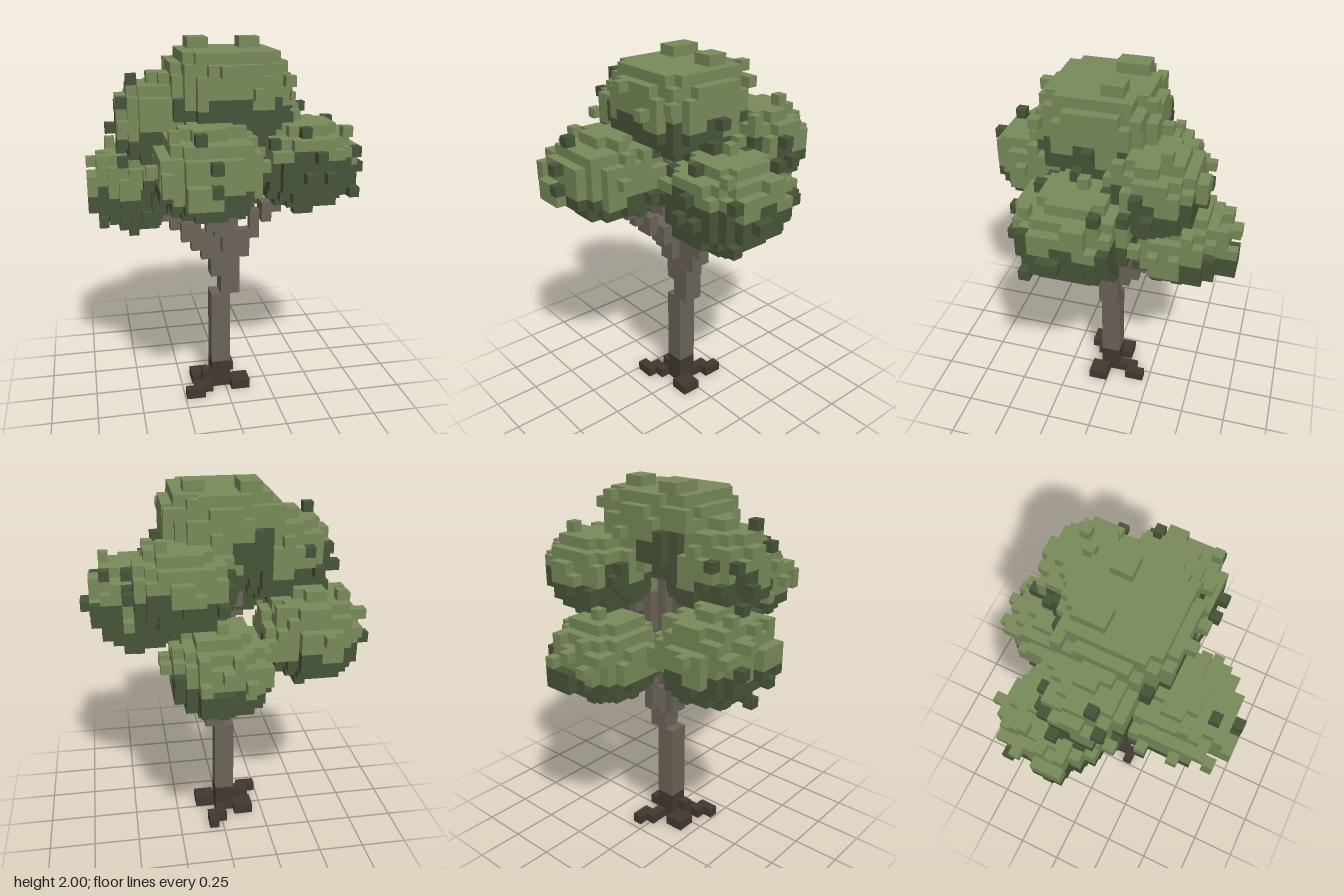
import * as THREE from 'three';

const V = 2 / 37; // cube size

const material = (name, color) => {
  const m = new THREE.MeshStandardMaterial({ color });
  m.name = name;
  return m;
};

// Repeatable noise in 0..1 for a cell
function noise(i, j, k, seed) {
  let h = (i * 374761393 + j * 668265263 + k * 2147483647 + seed * 1274126177) | 0;
  h = Math.imul(h ^ (h >>> 13), 1274126177);
  h = Math.imul(h ^ (h >>> 16), 0x85ebca6b);
  return ((h ^ (h >>> 15)) >>> 0) / 4294967296;
}

// Six cube faces: normal and four corners, counter-clockwise from outside
const FACES = [
  [[1, 0, 0], [[1, 0, 1], [1, 0, 0], [1, 1, 0], [1, 1, 1]]],
  [[-1, 0, 0], [[0, 0, 0], [0, 0, 1], [0, 1, 1], [0, 1, 0]]],
  [[0, 1, 0], [[0, 1, 1], [1, 1, 1], [1, 1, 0], [0, 1, 0]]],
  [[0, -1, 0], [[0, 0, 0], [1, 0, 0], [1, 0, 1], [0, 0, 1]]],
  [[0, 0, 1], [[0, 0, 1], [1, 0, 1], [1, 1, 1], [0, 1, 1]]],
  [[0, 0, -1], [[1, 0, 0], [0, 0, 0], [0, 1, 0], [1, 1, 0]]],
];

export function createModel() {
  const tree = new THREE.Group();
  tree.name = 'tree';
  const mats = {
    leafLight: material('light leaf green', 0x788a5a),
    leafDark: material('dark leaf green', 0x465438),
    bark: material('bark brown', 0x6b635a),
    root: material('dark root brown', 0x413831),
  };

  const cells = new Map();
  const put = (i, j, k, part, mat) => {
    if (Math.abs(i) > 13 || j < 0 || j > 36 || k < -13 || k > 12) return;
    const key = `${i},${j},${k}`;
    if (!cells.has(key)) cells.set(key, { i, j, k, part, mat });
  };
  const box = (i0, i1, j0, j1, k0, k1, part, mat) => {
    for (let i = i0; i <= i1; i++)
      for (let j = j0; j <= j1; j++)
        for (let k = k0; k <= k1; k++) put(i, j, k, part, mat);
  };

  // Trunk foot and four roots
  box(-1, 0, 0, 2, -1, 0, 'trunkFoot', 'root');
  box(-2, -2, 0, 1, 0, 0, 'roots', 'root');
  box(-3, -2, 0, 0, 1, 1, 'roots', 'root');
  box(-4, -3, 0, 0, 2, 2, 'roots', 'root');
  box(0, 0, 0, 0, -3, -2, 'roots', 'root');
  box(1, 1, 0, 0, -4, -3, 'roots', 'root');
  box(-3, -2, 0, 0, -2, -1, 'roots', 'root');
  box(1, 2, 0, 0, 0, 1, 'roots', 'root');

  // Trunk, stepping sideways as it rises
  box(-1, 0, 3, 10, -1, 0, 'trunk', 'bark');
  box(0, 1, 11, 17, -1, 0, 'trunk', 'bark');
  box(0, 0, 11, 30, -1, 0, 'trunk', 'bark');
  box(-1, -1, 13, 20, -1, 0, 'trunk', 'bark');
  box(1, 1, 18, 21, -1, -1, 'trunk', 'bark');

  // Branches follow short paths of cells, two cells high
  const branch = (name, points) => {
    for (let p = 0; p + 1 < points.length; p++) {
      const a = new THREE.Vector3(...points[p]), b = new THREE.Vector3(...points[p + 1]);
      const steps = Math.ceil(a.distanceTo(b) * 2);
      for (let s = 0; s <= steps; s++) {
        const q = a.clone().lerp(b, s / steps).round();
        box(q.x, q.x, q.y, q.y + 1, q.z, q.z, name, 'bark');
      }
    }
  };
  branch('rightBranch', [[-1, 14, 0], [-2, 15, 0], [-3, 17, 0], [-5, 18, -1], [-7, 21, -2]]);
  branch('leftBranch', [[1, 14, 0], [2, 15, 0], [3, 18, 0], [5, 20, 1], [7, 23, 1]]);
  branch('frontBranch', [[0, 15, 0], [0, 17, 1], [-1, 18, 2], [-2, 20, 4], [-3, 22, 6]]);
  branch('backBranch', [[0, 13, -2], [0, 15, -3], [1, 16, -4], [1, 18, -6]]);
  branch('upperBackBranch', [[0, 21, -1], [2, 25, -3], [4, 28, -5]]);
  branch('upperRightBranch', [[0, 21, 0], [-2, 25, 0], [-5, 28, 0]]);

  // Leaf clusters: name, centre, radii, roundness power, height where dark turns light
  const clusters = [
    ['topLeaves', [0, 1.74, 0.03], [0.3, 0.24, 0.29], 3, 1.7],
    ['upperRightLeaves', [-0.31, 1.59, 0.01], [0.26, 0.23, 0.22], 2.3, 1.56],
    ['upperBackLeaves', [0.22, 1.54, -0.28], [0.25, 0.2, 0.24], 2.3, 1.56],
    ['frontLeaves', [-0.16, 1.4, 0.39], [0.26, 0.21, 0.27], 2.3, 1.33],
    ['leftLeaves', [0.41, 1.35, 0.07], [0.27, 0.22, 0.28], 2.4, 1.37],
    ['rightLeaves', [-0.45, 1.21, -0.16], [0.25, 0.23, 0.27], 2.3, 1.18],
    ['backLeaves', [0.06, 1.14, -0.41], [0.25, 0.21, 0.25], 2.2, 1.1],
  ];
  clusters.forEach(([name, c, r, power, darkBelow], n) => {
    for (let i = -13; i <= 13; i++)
      for (let j = 17; j <= 35; j++)
        for (let k = -13; k <= 12; k++) {
          const p = [i * V, (j + 0.5) * V, (k + 0.5) * V];
          const d = p.reduce((s, v, a) => s + Math.abs((v - c[a]) / r[a]) ** power, 0) ** (1 / power);
          const chance = noise(i, j, k, n);
          if (d > (chance < 0.1 ? 1.16 : 1)) continue;
          // Ragged colour edge, with a few dark tufts standing out
          const patch = (noise(i >> 1, 0, k >> 1, n + 20) - 0.5) * 2.6 * V;
          const dark = p[1] < darkBelow + patch || (d > 1 && chance < 0.03);
          put(i, j, k, name, dark ? 'leafDark' : 'leafLight');
        }
  });

  // Outermost leaf tufts
  box(-3, -2, 36, 36, -3, -1, 'topLeaves', 'leafLight');
  box(2, 3, 36, 36, -2, -1, 'topLeaves', 'leafLight');
  box(12, 13, 24, 24, 1, 2, 'leftLeaves', 'leafDark');
  box(-13, -12, 22, 23, -3, -1, 'rightLeaves', 'leafLight');
  box(-5, -3, 24, 25, 11, 12, 'frontLeaves', 'leafLight');
  box(1, 3, 19, 20, -13, -12, 'backLeaves', 'leafDark');

  // Gather the exposed faces of each part by colour
  const parts = new Map();
  for (const { i, j, k, part, mat } of cells.values()) {
    const key = `${part}|${mat}`;
    if (!parts.has(key)) parts.set(key, { position: [], normal: [], index: [] });
    const g = parts.get(key);
    for (const [n, corners] of FACES) {
      if (cells.has(`${i + n[0]},${j + n[1]},${k + n[2]}`)) continue;
      const o = g.position.length / 3;
      for (const [x, y, z] of corners) {
        g.position.push((i - 0.5 + x) * V, (j + y) * V, (k + z) * V);
        g.normal.push(...n);
      }
      g.index.push(o, o + 1, o + 2, o, o + 2, o + 3);
    }
  }
  for (const [key, g] of parts) {
    if (!g.index.length) continue;
    const [part, mat] = key.split('|');
    const geo = new THREE.BufferGeometry();
    geo.setAttribute('position', new THREE.Float32BufferAttribute(g.position, 3));
    geo.setAttribute('normal', new THREE.Float32BufferAttribute(g.normal, 3));
    geo.setIndex(g.index);
    const mesh = new THREE.Mesh(geo, mats[mat]);
    mesh.name = mat === 'leafDark' ? `${part}Underside` : part;
    tree.add(mesh);
  }
  return tree;
}
